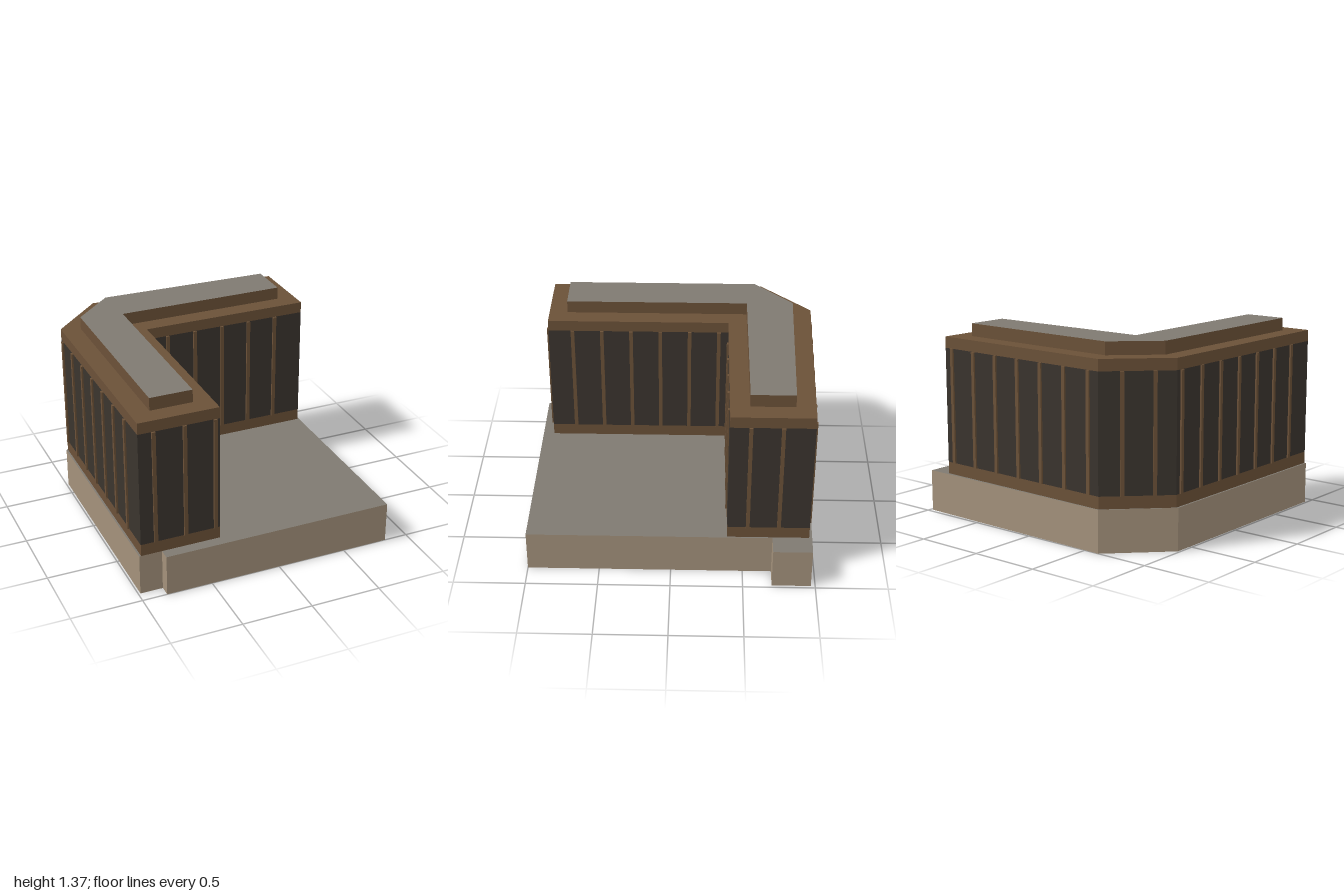
import * as THREE from 'three';

const mat = (name, color) => {
  const m = new THREE.MeshStandardMaterial({ color });
  m.name = name;
  return m;
};

// Prism over a plan outline of [x, z] corners; the top face may have its own material
function prism(name, plan, y0, y1, body, top = body) {
  const shape = new THREE.Shape(plan.map(([x, z]) => new THREE.Vector2(x, -z)));
  const geo = new THREE.ExtrudeGeometry(shape, { depth: y1 - y0, bevelEnabled: false });
  const caps = geo.groups[0].count;
  const sides = geo.groups[1].count;
  geo.clearGroups();
  geo.addGroup(0, caps / 2, 0); // underside
  geo.addGroup(caps / 2, caps / 2, 1); // top
  geo.addGroup(caps, sides, 0); // walls
  geo.rotateX(-Math.PI / 2);
  geo.translate(0, y0, 0);
  const mesh = new THREE.Mesh(geo, [body, top]);
  mesh.name = name;
  return mesh;
}

export function createModel() {
  const stone = mat('tan stone', 0xa3917b);
  const paving = mat('grey paving', 0x7f7a71);
  const bronze = mat('brown bronze', 0x6b5138);
  const glass = mat('dark glass', 0x3a342e);

  const basePlan = [[-0.985, -0.63], [-0.615, -1], [0.98, -0.97], [0.98, -0.7], [0.83, -0.7],
    [0.83, 1], [-0.825, 1], [-0.825, 0.92], [-0.985, 0.92]];
  const wallPlan = [[-0.972, -0.635], [-0.61, -0.99], [0.82, -0.952], [0.82, -0.388],
    [-0.408, -0.388], [-0.408, 0.92], [-0.972, 0.92]];
  const roofPlan = [[-0.838, -0.585], [-0.555, -0.853], [0.688, -0.822], [0.688, -0.52],
    [-0.54, -0.52], [-0.54, 0.788], [-0.838, 0.788]];

  const model = new THREE.Group();
  model.name = 'building';
  model.add(
    prism('podium', basePlan, 0, 0.295, stone, paving),
    prism('lowerBand', wallPlan, 0.295, 0.38, bronze),
    prism('glazing', wallPlan, 0.38, 1.2, glass),
    prism('upperBand', wallPlan, 1.2, 1.28, bronze),
    prism('penthouse', roofPlan, 1.28, 1.37, bronze, paving),
  );

  // Upright fins: for each wall the first distance from its start corner and the count
  const fins = new THREE.Group();
  fins.name = 'fins';
  const finGeo = new THREE.BoxGeometry(0.026, 0.82, 0.025);
  const rows = [[0.14, 2], [0.083, 7], [0.212, 2], [0.22, 5], [0.068, 6], [0.032, 3], [0.23, 7]];
  rows.forEach(([first, count], i) => {
    const [ax, az] = wallPlan[i];
    const [bx, bz] = wallPlan[(i + 1) % wallPlan.length];
    const length = Math.hypot(bx - ax, bz - az);
    for (let k = 0; k < count; k++) {
      const t = (first + k * 0.213) / length;
      const fin = new THREE.Mesh(finGeo, bronze);
      fin.name = 'fin';
      fin.position.set(ax + (bx - ax) * t, 0.79, az + (bz - az) * t);
      fin.rotation.y = -Math.atan2(bz - az, bx - ax);
      fins.add(fin);
    }
  });
  model.add(fins);
  return model;
}
